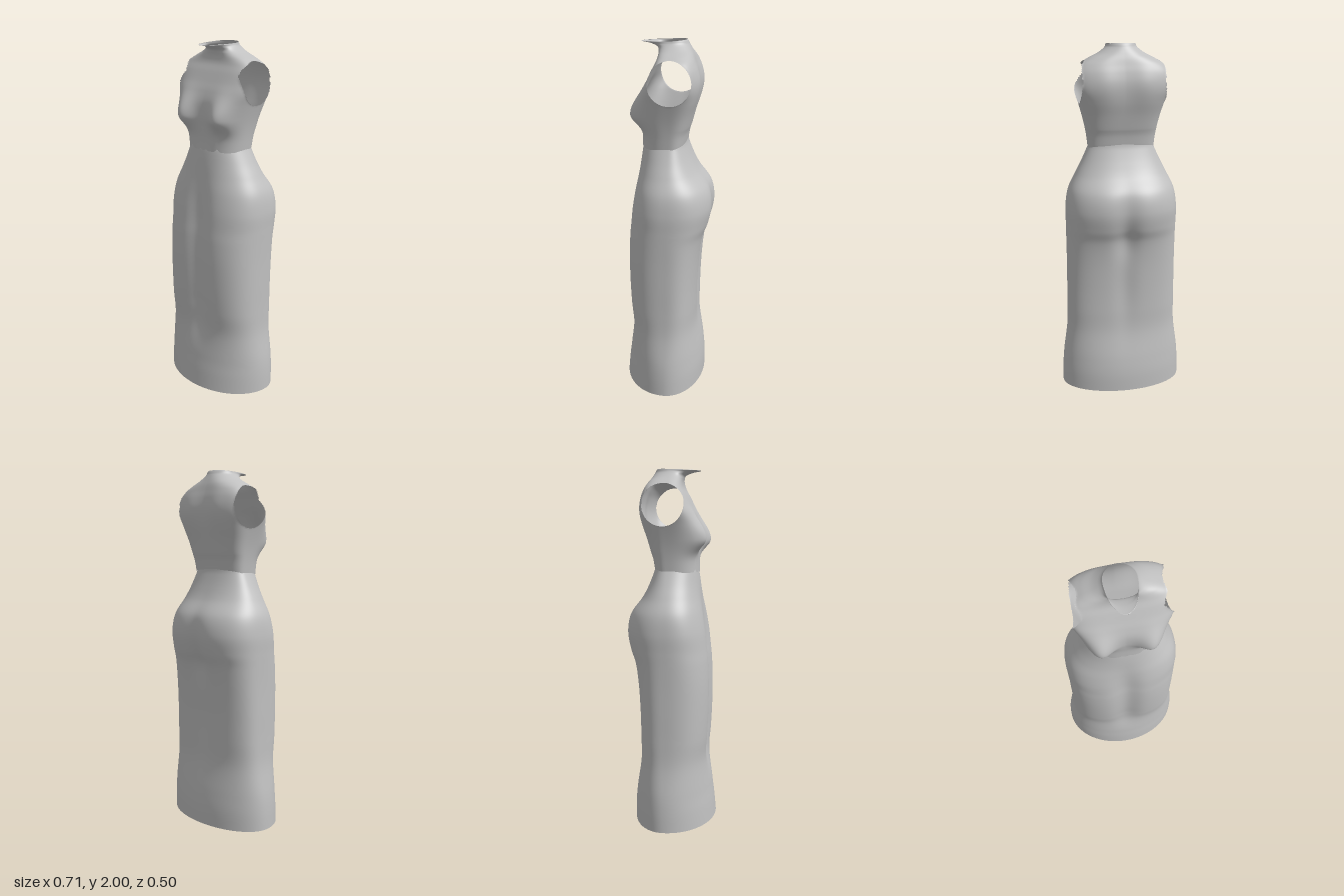
import * as THREE from 'three';

const bump = (d, s) => Math.exp(-(d * d) / (s * s));

// Cross-sections: [y, half width, front z, back z, roundness exponent]
const SKIRT = [
  [0, 0.355, 0.25, -0.217, 2], [0.1, 0.353, 0.24, -0.216, 2.05], [0.2, 0.345, 0.226, -0.205, 2.15],
  [0.36, 0.322, 0.206, -0.178, 2.5], [0.5, 0.317, 0.215, -0.176, 2.7], [0.65, 0.316, 0.222, -0.18, 2.7],
  [0.8, 0.315, 0.223, -0.19, 2.7], [0.92, 0.316, 0.219, -0.208, 2.6], [1.0, 0.317, 0.212, -0.235, 2.5],
  [1.1, 0.317, 0.2, -0.25, 2.5], [1.2, 0.301, 0.183, -0.234, 2.4], [1.29, 0.258, 0.165, -0.172, 2.3],
  [1.36, 0.222, 0.153, -0.136, 2.3], [1.43, 0.189, 0.142, -0.108, 2.4], [1.462, 0.176, 0.134, -0.1, 2.5],
];
const BODICE = [
  [1.43, 0.184, 0.143, -0.1, 2.7], [1.5, 0.192, 0.142, -0.11, 2.8], [1.56, 0.202, 0.146, -0.125, 3],
  [1.62, 0.216, 0.15, -0.14, 3.2], [1.69, 0.236, 0.145, -0.158, 3.6], [1.75, 0.256, 0.126, -0.167, 4],
  [1.8, 0.264, 0.103, -0.167, 4], [1.85, 0.256, 0.08, -0.158, 4], [1.89, 0.228, 0.06, -0.146, 3.6],
  [1.92, 0.182, 0.053, -0.136, 3], [1.945, 0.132, 0.055, -0.125, 2.5], [1.965, 0.102, 0.066, -0.115, 2.2],
  [1.98, 0.086, 0.105, -0.107, 2], [1.988, 0.081, 0.15, -0.101, 2], [1.99, 0.08, 0.151, -0.096, 2],
];

// Smooth interpolation between cross-sections, t in 0..1
function section(keys, t) {
  const last = keys.length - 1;
  const i = Math.min(Math.floor(t * last), last - 1);
  const f = t * last - i;
  const [a, b, c, d] = [-1, 0, 1, 2].map((o) => keys[Math.min(Math.max(i + o, 0), last)]);
  return b.map((p, k) => 0.5 * (2 * p + (c[k] - a[k]) * f
    + (2 * a[k] - 5 * p + 4 * c[k] - d[k]) * f * f
    + (3 * p - a[k] - 3 * c[k] + d[k]) * f * f * f));
}

// Closed tube of cross-sections; shape() adjusts each point, inHole() opens gaps
function loft(keys, rows, cols, cz, shape, inHole, snap) {
  const pos = [], index = [], open = [];
  for (let r = 0; r <= rows; r++) {
    const [y, w, front, back, n] = section(keys, r / rows);
    for (let k = 0; k < cols; k++) {
      const a = (k / cols) * Math.PI * 2;
      const c = Math.cos(a), s = Math.sin(a);
      const q = Math.pow(Math.abs(c) ** n + Math.abs(s) ** n, -1 / n);
      const p = new THREE.Vector3(w * c * q, y, cz + (s > 0 ? front - cz : cz - back) * s * q);
      shape(p, s, r / rows);
      open.push(inHole ? inHole(p) : false);
      if (open[open.length - 1]) snap(p);
      pos.push(p.x, p.y, p.z);
    }
  }
  const face = (a, b, c) => { if (!(open[a] && open[b] && open[c])) index.push(a, b, c); };
  for (let r = 0; r < rows; r++) {
    for (let k = 0; k < cols; k++) {
      const a = r * cols + k, b = r * cols + (k + 1) % cols;
      face(a, a + cols, b);
      face(b, a + cols, b + cols);
    }
  }
  const g = new THREE.BufferGeometry();
  g.setAttribute('position', new THREE.Float32BufferAttribute(pos, 3));
  g.setIndex(index);
  g.computeVertexNormals();
  return g;
}

// Soft grooves down the front and back, fuller seat
function shapeSkirt(p, s) {
  const { x, y } = p;
  const side = Math.max(0, Math.abs(s));
  if (s > 0) {
    const fade = THREE.MathUtils.smoothstep(y, 0.2, 0.55) * (1 - THREE.MathUtils.smoothstep(y, 1.0, 1.4));
    p.z -= 0.03 * fade * bump(x, 0.075) * side;
  } else {
    p.z += side * bump(x, 0.06) * (0.01 * bump(y - 1.1, 0.14) + 0.024 * bump(y - 0.93, 0.11) + 0.014 * bump(y - 0.65, 0.25));
    p.z -= side * 0.006 * bump(Math.abs(x) - 0.12, 0.08) * bump(y - 1.1, 0.15);
  }
}

// Bust, shoulder blades, scalloped front hem and raised back hem
function shapeBodice(p, s, t) {
  const { x, y } = p;
  const side = Math.abs(s);
  if (s > 0) {
    const dy = y - 1.61;
    p.z += 0.058 * Math.min(1, side * 1.6) * bump(Math.abs(x) - 0.135, 0.07) * bump(dy, dy > 0 ? 0.1 : 0.06);
  } else {
    p.z -= 0.012 * side * bump(Math.abs(x) - 0.11, 0.07) * bump(y - 1.79, 0.12);
  }
  const hem = Math.max(0, 1 - t / 0.12);
  const notch = 0.02 * bump(Math.abs(x) - 0.095, 0.012) + 0.008 * bump(Math.abs(x) - 0.02, 0.01);
  p.y += hem * (s > 0 ? notch * side : 0.026 * side);
  // collar rises slightly at the back
  p.y += 0.01 * Math.max(0, (t - 0.85) / 0.15) * (0.5 - 0.5 * s);
}

// Oval armholes seen from the side
const HOLE = { z: -0.03, y: 1.795, rz: 0.115, ry: 0.115 };
const holeRadius = (p) => Math.hypot((p.z - HOLE.z) / HOLE.rz, (p.y - HOLE.y) / HOLE.ry);
const inArmhole = (p) => Math.abs(p.x) > 0.12 && holeRadius(p) < 1;
function snapToArmhole(p) {
  const r = Math.max(holeRadius(p), 0.01);
  p.z = HOLE.z + (p.z - HOLE.z) / r;
  p.y = HOLE.y + (p.y - HOLE.y) / r;
}

export function createModel() {
  const group = new THREE.Group();
  group.name = 'dress';
  const fabric = new THREE.MeshStandardMaterial({ color: 0xc0c0c0, side: THREE.DoubleSide });
  fabric.name = 'grey fabric';

  const skirt = new THREE.Mesh(loft(SKIRT, 112, 128, -0.015, shapeSkirt), fabric);
  skirt.name = 'skirt';
  const bodice = new THREE.Mesh(
    loft(BODICE, 126, 192, -0.02, shapeBodice, inArmhole, snapToArmhole), fabric);
  bodice.name = 'bodice';

  group.add(skirt, bodice);
  return group;
}
